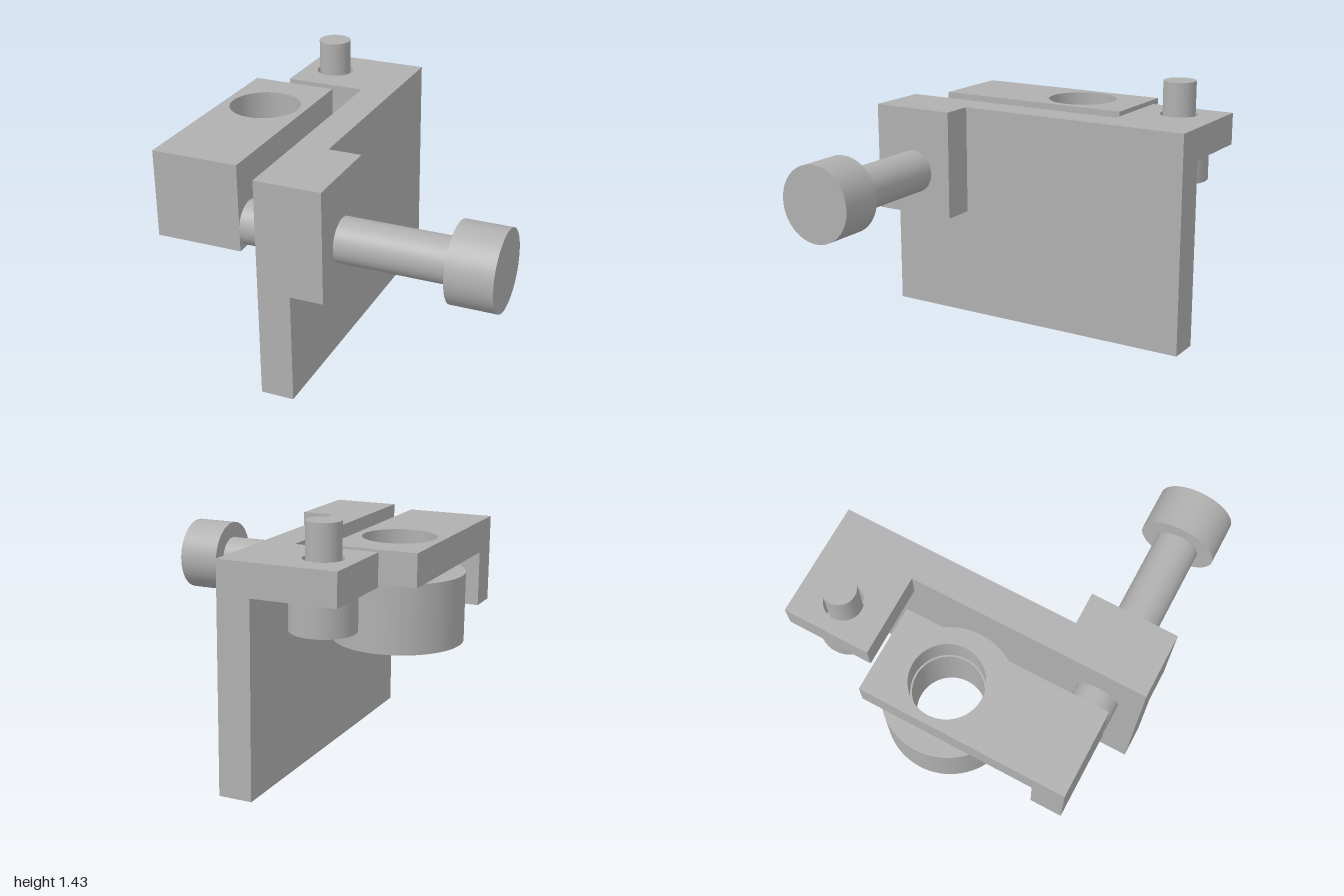
import * as THREE from 'three';

const grey = new THREE.MeshStandardMaterial({ color: 0xb0b0b0 });
grey.name = 'plain grey';

export function createModel() {
  const root = new THREE.Group();
  root.name = 'clampBracket';

  const add = (name, geometry, parent = root) => {
    const mesh = new THREE.Mesh(geometry, grey);
    mesh.name = name;
    parent.add(mesh);
    return mesh;
  };
  const group = (name) => {
    const g = new THREE.Group();
    g.name = name;
    root.add(g);
    return g;
  };
  // Box given by its limits on each axis
  const box = (name, [x0, x1], [y0, y1], [z0, z1], parent) =>
    add(name, new THREE.BoxGeometry(x1 - x0, y1 - y0, z1 - z0)
      .translate((x0 + x1) / 2, (y0 + y1) / 2, (z0 + z1) / 2), parent);
  // Outlines lie in the ground plan; shape y is -z
  const rect = (x0, x1, z0, z1) => new THREE.Shape([
    new THREE.Vector2(x0, -z1), new THREE.Vector2(x1, -z1),
    new THREE.Vector2(x1, -z0), new THREE.Vector2(x0, -z0)]);
  const disc = (x, z, r) => new THREE.Shape().absarc(x, -z, r, 0, Math.PI * 2, false);
  const slab = (name, shape, holes, y0, y1, parent) => {
    shape.holes.push(...holes);
    const geo = new THREE.ExtrudeGeometry(shape, { depth: y1 - y0, bevelEnabled: false, curveSegments: 48 });
    return add(name, geo.rotateX(-Math.PI / 2).translate(0, y0, 0), parent);
  };
  // Cylinder along x
  const rod = (name, r, x0, x1, y, z, parent) =>
    add(name, new THREE.CylinderGeometry(r, r, x1 - x0, 64)
      .rotateZ(-Math.PI / 2).translate((x0 + x1) / 2, y, z), parent);

  // Upright bracket with a boss at the front and a flange at the back
  const bracket = group('bracket');
  const pinX = -0.52, pinZ = -0.685;
  box('uprightPlate', [-0.24, -0.055], [0, 1.24], [-0.93, 0.93], bracket);
  box('screwBoss', [-0.055, 0.13], [0.62, 1.24], [0.435, 0.93], bracket);
  slab('backFlange', rect(-0.705, -0.24, -0.93, -0.435), [disc(pinX, pinZ, 0.107)], 1.06, 1.24, bracket);

  // Socket screw pointing up through the flange
  const capScrew = group('capScrew');
  add('capScrewShank', new THREE.CylinderGeometry(0.092, 0.092, 0.42, 48)
    .translate(pinX, 1.22, pinZ), capScrew);
  const hex = new THREE.Path(Array.from({ length: 6 }, (_, i) => new THREE.Vector2(
    pinX + 0.087 * Math.cos(i * Math.PI / 3), -pinZ + 0.087 * Math.sin(i * Math.PI / 3))));
  slab('capScrewSocketRim', disc(pinX, pinZ, 0.173), [hex], 0.875, 0.97, capScrew);
  slab('capScrewHead', disc(pinX, pinZ, 0.173), [], 0.97, 1.06, capScrew);

  // Sliding arm with a downturned end and a round opening
  const arm = group('slidingArm');
  const ringX = -0.645;
  slab('armPlate', rect(-0.89, -0.4, -0.375, 0.8), [disc(ringX, 0, 0.2)], 1.06, 1.24, arm);
  box('armLeg', [-0.89, -0.4], [0.75, 1.06], [0.62, 0.8], arm);
  slab('armRing', disc(ringX, 0, 0.355), [disc(ringX, 0, 0.19)], 0.685, 1.06, arm);

  // Adjusting screw through the boss
  const screw = group('adjustingScrew');
  rod('screwShank', 0.123, -0.4, 0.75, 0.87, 0.68, screw);
  rod('screwHead', 0.216, 0.75, 1, 0.872, 0.68, screw);

  return root;
}
